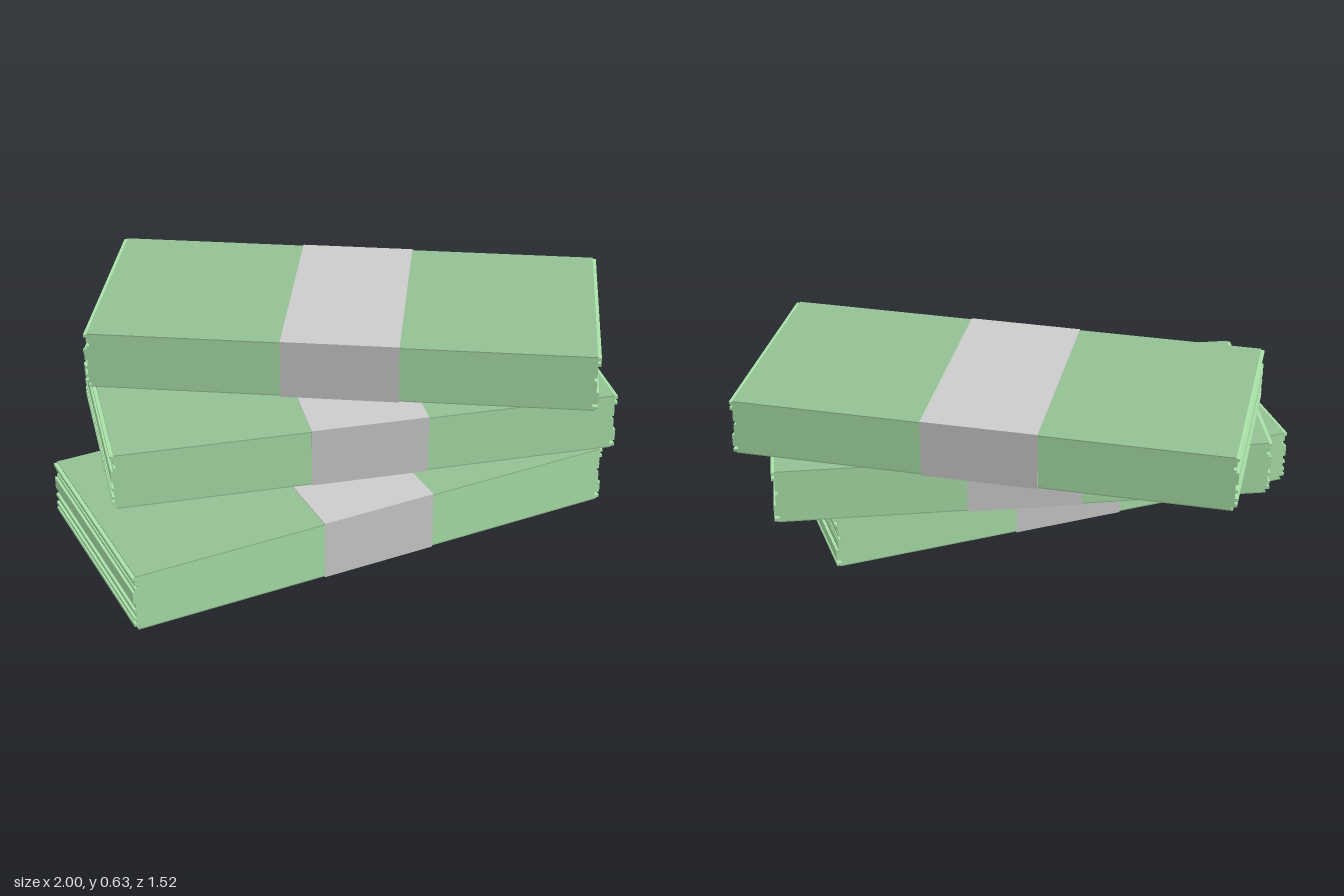
import * as THREE from 'three';

const HEIGHT = 0.203, WIDTH = 0.733, HALF = 0.843, PITCH = 0.2085;
const COVER = 0.004;

const paper = new THREE.MeshStandardMaterial({ color: 0xaae2aa, flatShading: true });
const cover = new THREE.MeshStandardMaterial({ color: 0x93c093, flatShading: true });
const wrap = new THREE.MeshStandardMaterial({ color: 0xcccccc, flatShading: true });

// Small seeded generator for the uneven note edges
function seeded(seed) {
  return () => (seed = (seed * 16807) % 2147483647) / 2147483647;
}

// Side outline of the notes: straight top and bottom, ragged stepped ends
function stackGeometry() {
  const rand = seeded(421);
  const layers = 18;
  const bottom = -HEIGHT / 2 + COVER;
  const step = (HEIGHT - 2 * COVER) / layers;
  const raggedEnd = (side) => {
    const points = [];
    for (let i = 0; i < layers; i++) {
      const r = rand();
      const out = r < 0.3 ? 0.012 : r < 0.5 ? -0.006 : r * 0.004;
      const x = side * (HALF + out);
      points.push(new THREE.Vector2(x, bottom + i * step));
      points.push(new THREE.Vector2(x, bottom + (i + 1) * step));
    }
    return points;
  };
  const outline = [...raggedEnd(1), ...raggedEnd(-1).reverse()];
  const geometry = new THREE.ExtrudeGeometry(new THREE.Shape(outline), {
    depth: WIDTH, bevelEnabled: false,
  });
  return geometry.translate(0, 0, -WIDTH / 2);
}

function add(parent, name, geometry, material, y = 0) {
  const mesh = new THREE.Mesh(geometry, material);
  mesh.name = name;
  mesh.position.y = y;
  parent.add(mesh);
}

export function createModel() {
  const model = new THREE.Group();
  model.name = 'bundleStack';

  const notes = stackGeometry();
  const outerNote = new THREE.BoxGeometry(HALF * 2, COVER, WIDTH);
  const band = new THREE.BoxGeometry(0.395, PITCH, WIDTH + 0.004);

  // Each bundle: name, centre x, centre z, turn in degrees
  const bundles = [
    ['bottomBundle', -0.148, 0.31, 0],
    ['middleBundle', -0.01, 0.143, -13.05],
    ['topBundle', 0.077, 0, -31.5],
  ];
  bundles.forEach(([name, x, z, turn], i) => {
    const bundle = new THREE.Group();
    bundle.name = name;
    bundle.position.set(x, PITCH * (i + 0.5), z);
    bundle.rotation.y = THREE.MathUtils.degToRad(turn);
    add(bundle, 'notes', notes, paper);
    // Darker faces of the outermost notes
    add(bundle, 'topNote', outerNote, cover, (HEIGHT - COVER) / 2);
    add(bundle, 'bottomNote', outerNote, cover, -(HEIGHT - COVER) / 2);
    // Paper band around the middle
    add(bundle, 'band', band, wrap);
    model.add(bundle);
  });
  return model;
}
